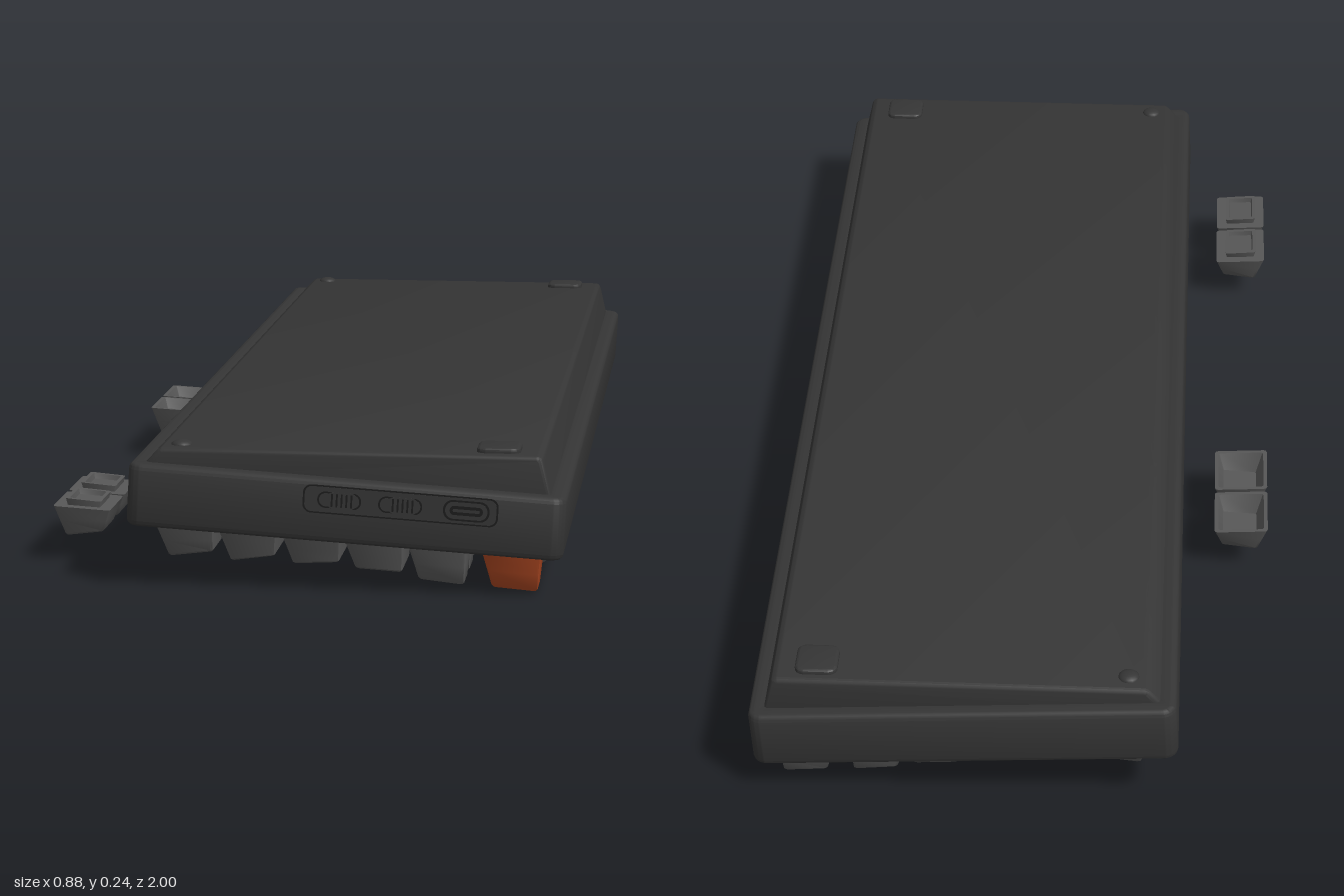
import * as THREE from 'three';
import { toCreasedNormals } from 'three/addons/utils/BufferGeometryUtils.js';

const mat = (name, color) => {
  const m = new THREE.MeshStandardMaterial({ color });
  m.name = name;
  return m;
};

function add(parent, name, geometry, material, x = 0, y = 0, z = 0) {
  const mesh = new THREE.Mesh(geometry, material);
  mesh.name = name;
  mesh.position.set(x, y, z);
  parent.add(mesh);
  return mesh;
}

function roundRect(Type, w, h, r) {
  const p = new Type(), x = w / 2, y = h / 2;
  p.moveTo(-x + r, -y);
  p.lineTo(x - r, -y).absarc(x - r, -y + r, r, -Math.PI / 2, 0);
  p.lineTo(x, y - r).absarc(x - r, y - r, r, 0, Math.PI / 2);
  p.lineTo(-x + r, y).absarc(-x + r, y - r, r, Math.PI / 2, Math.PI);
  p.lineTo(-x, -y + r).absarc(-x + r, -y + r, r, Math.PI, Math.PI * 1.5);
  return p;
}

// Bevelled slab, centred on z, whose outline is not enlarged by the bevel
function slab(shape, depth, bevel = 0) {
  const g = new THREE.ExtrudeGeometry(shape, {
    depth: depth - 2 * bevel, bevelEnabled: bevel > 0, bevelSize: bevel,
    bevelThickness: bevel, bevelOffset: -bevel, bevelSegments: 3, curveSegments: 6,
  });
  g.translate(0, 0, bevel - depth / 2);
  return toCreasedNormals(g, 0.6);
}

// Side profile of each key row: base back/front, then face back/front (x, y)
const ROWS = [
  [-0.242, 0.1, -0.146, 0.095, -0.223, 0.046, -0.149, 0.055],
  [-0.137, 0.093, -0.042, 0.088, -0.119, 0.04, -0.046, 0.05],
  [-0.031, 0.087, 0.065, 0.083, -0.015, 0.038, 0.061, 0.042],
  [0.073, 0.081, 0.169, 0.076, 0.089, 0.033, 0.166, 0.028],
  [0.178, 0.075, 0.273, 0.069, 0.194, 0.018, 0.269, 0.01],
  [0.3, 0.067, 0.396, 0.061, 0.315, 0.008, 0.39, 0.002],
];
const SPARE = [-0.443, 0.1, -0.345, 0.094, -0.425, 0.046, -0.36, 0.054];
const UNIT = 0.105, Z0 = 0.96;

// Rings as [depth, x scale, z scale]
const OUTER = [[0, 1, 1], [0.5, 1, 1], [0.94, 1, 1], [1, 0.94, 0.95]];
const HOLLOW = [[0.72, 0.84, 0.84], [0, 0.86, 0.88], ...OUTER];
const STEMMED = [[-0.05, 0.46, 0.58], [-0.24, 0.46, 0.58], [-0.24, 0.58, 0.7], [0, 0.58, 0.7], ...OUTER];

// Keycap lofted through rounded rectangular rings, with a dished face
function capGeometry(p, width, rings, dish) {
  const pos = [], index = [], N = 12;
  const place = (t, sx, sz) => {
    const u = (sx + 1) / 2;
    const mix = (a, b, c, d) => (1 - t) * (a + (b - a) * u) + t * (c + (d - c) * u);
    const half = width * UNIT / 2 - 0.004 - 0.016 * t;
    pos.push(mix(p[0], p[2], p[4], p[6]), mix(p[1], p[3], p[5], p[7]), sz * half);
  };
  const rz = 0.12 / width, rx = 0.12;
  for (const [t, kx, kz] of rings) {
    for (let c = 0; c < 4; c++) {
      const cx = c === 0 || c === 3 ? 1 : -1, cz = c < 2 ? 1 : -1;
      for (let k = 0; k < 3; k++) {
        const a = (c + k / 2) * Math.PI / 2;
        place(t, kx * (cx * (1 - rx) + rx * Math.cos(a)), kz * (cz * (1 - rz) + rz * Math.sin(a)));
      }
    }
  }
  place(rings[0][0], 0, 0);
  place(1 - dish, 0, 0);
  const first = rings.length * N, last = first - N;
  for (let i = 0; i < N; i++) {
    const n = (i + 1) % N;
    for (let j = 0; j < rings.length - 1; j++) {
      const a = j * N + i, b = j * N + n;
      index.push(a, b, a + N, b, b + N, a + N);
    }
    index.push(n, i, first, last + i, last + n, first + 1);
  }
  const g = new THREE.BufferGeometry();
  g.setAttribute('position', new THREE.Float32BufferAttribute(pos, 3));
  g.setIndex(index);
  return toCreasedNormals(g, 0.6);
}

export function createModel() {
  const model = new THREE.Group();
  const shell = mat('charcoal shell', 0x353535);
  const dark = mat('black trim', 0x1c1c1c);
  const grey = mat('grey keycap', 0x575757);
  const orange = mat('orange keycap', 0xa54420);

  // Tilted case: bevelled frame around a recessed switch plate
  const body = new THREE.Group();
  body.name = 'case';
  body.position.set(0.0765, 0.139, 0);
  body.rotation.z = -0.0587;
  model.add(body);
  const outline = roundRect(THREE.Shape, 0.722, 1.998, 0.025);
  outline.holes.push(roundRect(THREE.Path, 0.645, 1.915, 0.01));
  add(body, 'caseFrame', slab(outline, 0.105, 0.01).rotateX(-Math.PI / 2), shell);
  add(body, 'switchPlate', new THREE.BoxGeometry(0.67, 0.075, 1.94), dark, 0, 0, 0);

  // Wedge-shaped underside cover
  const wedge = new THREE.Shape();
  wedge.moveTo(-0.262, 0.18);
  wedge.lineTo(0.419, 0.145);
  wedge.lineTo(0.4, 0.226);
  wedge.quadraticCurveTo(0.397, 0.235, 0.388, 0.235);
  wedge.lineTo(-0.224, 0.235);
  wedge.quadraticCurveTo(-0.231, 0.235, -0.236, 0.23);
  wedge.lineTo(-0.256, 0.209);
  add(model, 'undersideCover', slab(wedge, 1.945, 0.008), shell);

  // Feet
  for (const s of [-1, 1]) {
    add(model, 'squareFoot', slab(roundRect(THREE.Shape, 0.072, 0.072, 0.016), 0.018, 0.005).rotateX(-Math.PI / 2),
      shell, 0.325, 0.234, s * 0.92);
    add(model, 'roundFoot', new THREE.SphereGeometry(0.018, 16, 6, 0, Math.PI * 2, 0, Math.PI / 2).scale(1, 0.5, 1),
      shell, -0.2, 0.234, s * 0.935);
  }

  // Control panel with two slide switches and a port
  const plate = (name, w, h, r, m, x, z) =>
    add(body, name, slab(roundRect(THREE.Shape, w, h, r), 0.002), m, x, 0.02, z);
  plate('panelOutline', 0.32, 0.047, 0.014, dark, 0.092, 0.9985);
  plate('panel', 0.314, 0.042, 0.012, shell, 0.092, 0.999);
  for (const x of [-0.008, 0.092]) {
    plate('switchSlot', 0.072, 0.027, 0.013, dark, x, 0.9993);
    plate('switchSlotFloor', 0.066, 0.022, 0.0105, shell, x, 0.9996);
    plate('switchKnob', 0.046, 0.027, 0.008, shell, x + 0.004, 1);
    for (let i = -2; i <= 2; i++) plate('switchRidge', 0.003, 0.022, 0.001, dark, x + 0.004 + i * 0.008, 1.0004);
  }
  plate('portRim', 0.076, 0.034, 0.016, dark, 0.2, 0.9993);
  plate('portShell', 0.069, 0.028, 0.0135, shell, 0.2, 0.9996);
  plate('portOpening', 0.054, 0.015, 0.007, dark, 0.2, 1);
  plate('portTongue', 0.044, 0.005, 0.002, shell, 0.2, 1.0003);

  // Keycaps: each row lists key widths; negative numbers are gaps
  const ones = (n) => Array(n).fill(1);
  const layout = [
    [1.25, 1.25, 1.25, 6.25, 1.25, 1.25, 1.25, 1.25, -0.25, 1, 1, 1],
    [2.25, ...ones(10), 2.75, -1.25, 1],
    [1.75, ...ones(11), 2.25],
    [1.5, ...ones(12), 1.5, -0.25, ...ones(3)],
    [...ones(13), 2, -0.25, ...ones(3)],
    [1, -1, ...ones(4), -0.5, ...ones(4), -0.5, ...ones(4), -0.25, ...ones(3)],
  ];
  const cache = {};
  const stem = new THREE.BoxGeometry(0.05, 0.03, 0.05);
  const keys = new THREE.Group();
  keys.name = 'keys';
  model.add(keys);
  layout.forEach((widths, row) => {
    const p = ROWS[row];
    let u = 0;
    widths.forEach((w, i) => {
      if (w > 0) {
        const z = Z0 - (u + w / 2) * UNIT;
        const bar = w > 6;
        cache[row + '_' + w] ??= capGeometry(p, w, OUTER, bar ? -0.06 : 0.08);
        const accent = row === 5 && i === 0;
        add(keys, accent ? 'accentKey' : bar ? 'spaceBar' : 'key', cache[row + '_' + w], accent ? orange : grey, 0, 0, z);
        add(keys, 'switchStem', stem, dark, (p[0] + p[2]) / 2, (p[1] + p[3]) / 2 + 0.005, z);
      }
      u += Math.abs(w);
    });
  });

  // Loose spare keycaps beside the case
  const hollow = capGeometry(SPARE, 1.25, HOLLOW, 0.08);
  const stemmed = capGeometry(SPARE, 1.25, STEMMED, 0.08);
  for (const u of [1.875, 3.125]) add(model, 'spareKey', stemmed, grey, 0, 0, Z0 - u * UNIT);
  for (const u of [10.625, 11.875]) add(model, 'spareKey', hollow, grey, 0, 0, Z0 - u * UNIT);

  return model;
}
